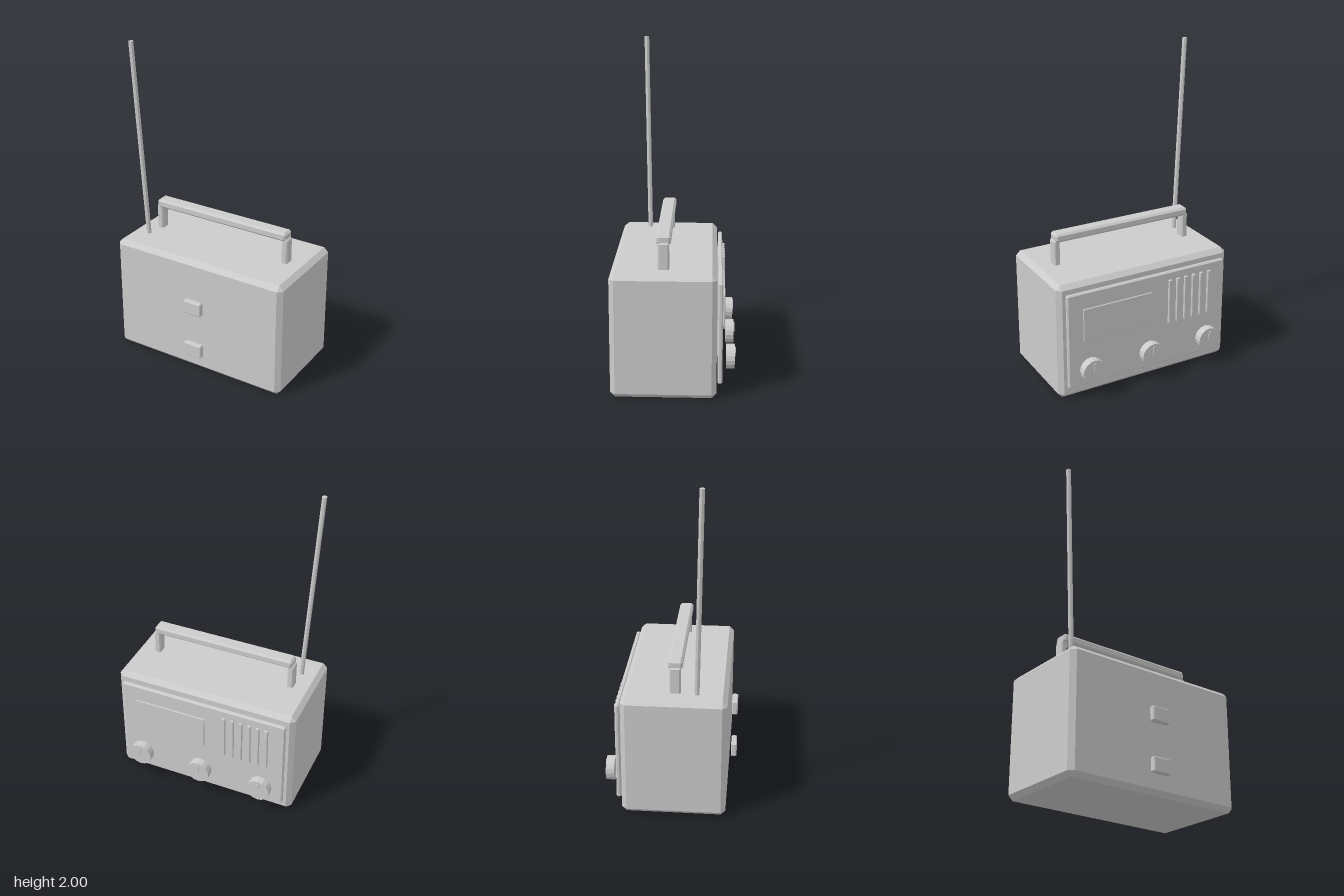
import * as THREE from 'three';
import { ConvexGeometry } from 'three/addons/geometries/ConvexGeometry.js';

const material = new THREE.MeshStandardMaterial({ color: 0xcccccc, flatShading: true });

function addMesh(parent, name, geometry) {
  const mesh = new THREE.Mesh(geometry, material);
  mesh.name = name;
  parent.add(mesh);
  return mesh;
}

// Box between two corners, with every edge cut at 45 degrees by c
function chamferBox(min, max, c) {
  const half = min.map((v, i) => (max[i] - v) / 2);
  const points = [];
  for (const sx of [-1, 1]) for (const sy of [-1, 1]) for (const sz of [-1, 1]) {
    for (let axis = 0; axis < 3; axis++) {
      const h = half.map((v, i) => (i === axis ? v : v - c));
      points.push(new THREE.Vector3(sx * h[0], sy * h[1], sz * h[2]));
    }
  }
  return new ConvexGeometry(points).translate(
    (min[0] + max[0]) / 2, (min[1] + max[1]) / 2, (min[2] + max[2]) / 2);
}

// Round rod between two points
function addRod(parent, name, from, to, radius) {
  const a = new THREE.Vector3(...from), b = new THREE.Vector3(...to);
  const rod = addMesh(parent, name, new THREE.CylinderGeometry(radius, radius, a.distanceTo(b), 8));
  rod.position.copy(a).add(b).multiplyScalar(0.5);
  rod.quaternion.setFromUnitVectors(new THREE.Vector3(0, 1, 0), b.sub(a).normalize());
}

export function createModel() {
  const radio = new THREE.Group();
  radio.name = 'radio';

  // Case
  addMesh(radio, 'case', chamferBox([-0.59, 0, -0.28], [0.59, 0.753, 0.343], 0.029));

  // Control panel with its dial window
  addMesh(radio, 'controlPanel', chamferBox([-0.546, 0.08, -0.314], [0.546, 0.7, -0.286], 0.008));
  addMesh(radio, 'dialWindow', chamferBox([-0.02, 0.385, -0.327], [0.447, 0.598, -0.317], 0.003));

  // Speaker slats
  for (let i = 0; i < 6; i++) {
    const x = -0.43 + i * 0.056;
    addMesh(radio, 'speakerSlat', chamferBox([x - 0.012, 0.355, -0.331], [x + 0.012, 0.65, -0.314], 0.004));
  }

  // Knobs with pointer marks
  for (const x of [-0.408, 0, 0.408]) {
    const knob = new THREE.Group();
    knob.name = 'knob';
    knob.position.set(x, 0.202, -0.361);
    addMesh(knob, 'knobBody', new THREE.CylinderGeometry(0.074, 0.074, 0.051, 16)).rotation.x = Math.PI / 2;
    addMesh(knob, 'knobPointer', new THREE.BoxGeometry(0.012, 0.058, 0.012)).position.set(0, 0.027, -0.026);
    radio.add(knob);
  }

  // Latches on the other face
  for (const y of [0.112, 0.412]) {
    addMesh(radio, 'latch', chamferBox([-0.061, y, 0.356], [0.061, y + 0.09, 0.392], 0.006));
  }

  // Carrying handle
  const handle = new THREE.Group();
  handle.name = 'handle';
  addMesh(handle, 'handleBar', chamferBox([-0.462, 0.9, -0.01], [0.462, 0.954, 0.076], 0.012));
  for (const s of [-1, 1]) {
    const x = s * 0.452;
    addMesh(handle, 'handlePost', chamferBox([x - 0.02, 0.72, 0], [x + 0.02, 0.912, 0.066], 0.008));
  }
  radio.add(handle);

  // Leaning antenna
  addRod(radio, 'antenna', [-0.47, 0.735, 0.161], [-0.538, 1.999, 0.184], 0.015);

  return radio;
}
